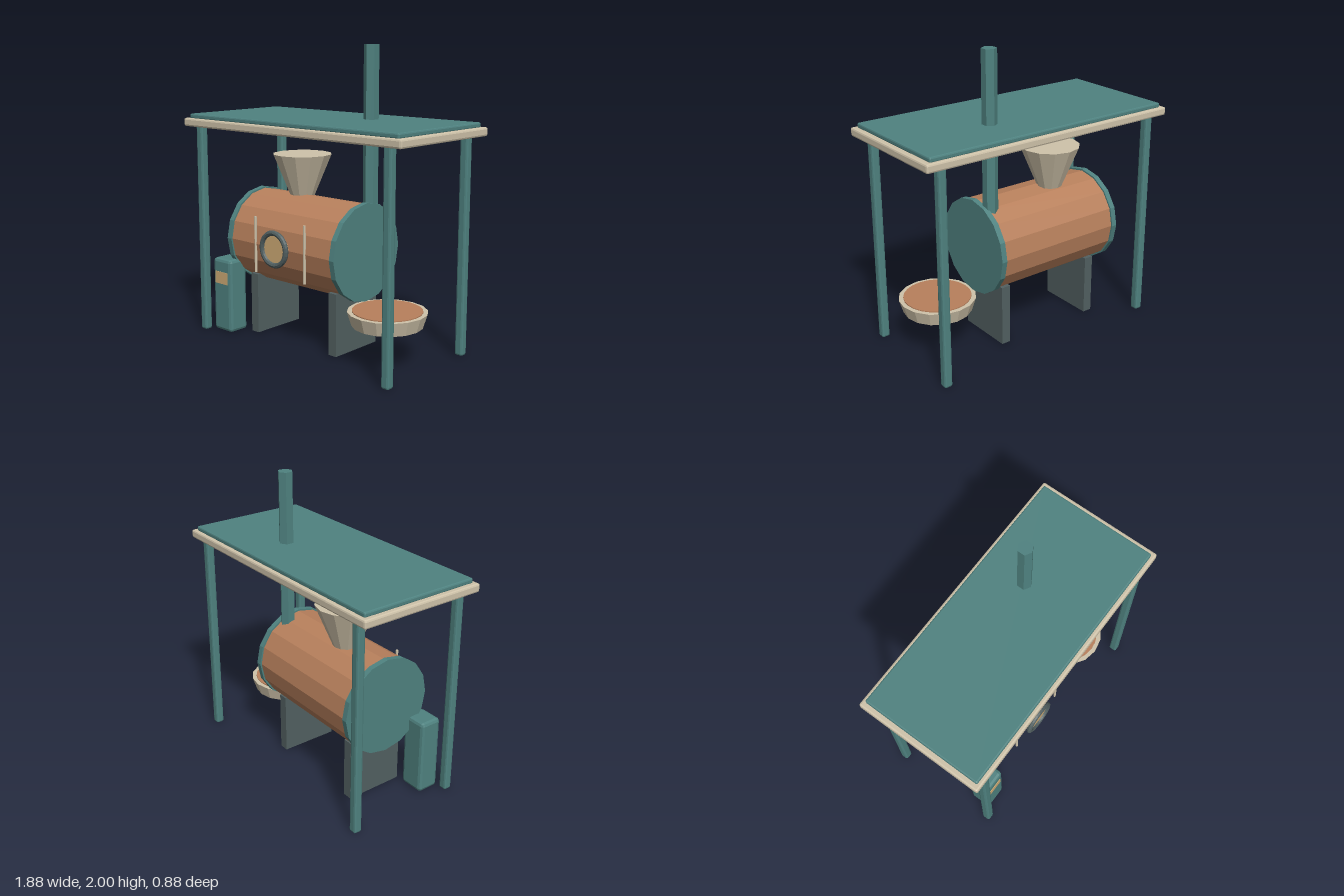
import * as THREE from 'three';
import { RoundedBoxGeometry } from 'three/addons/geometries/RoundedBoxGeometry.js';

const mat = (name, color) => Object.assign(new THREE.MeshStandardMaterial({ color }), { name });

export function createModel() {
  const group = new THREE.Group();
  const teal = mat('teal paint', 0x4f8280);
  const copper = mat('copper', 0xb8805c);
  const beige = mat('beige metal', 0xcfc3aa);
  const tan = mat('tan glass', 0xcfab75);
  const slate = mat('slate metal', 0x526061);

  // Faceted mesh with one normal per face
  const add = (name, geometry, material, x, y, z) => {
    const flat = geometry.index ? geometry.toNonIndexed() : geometry;
    flat.computeVertexNormals();
    const mesh = new THREE.Mesh(flat, material);
    mesh.name = name;
    mesh.position.set(x, y, z);
    group.add(mesh);
    return mesh;
  };
  // Box with chamfered edges; the single-step rounding sits slightly inside, so pad it
  const chamferBox = (w, h, d, r) => {
    const pad = r * 0.19;
    return new RoundedBoxGeometry(w + pad, h + pad, d + pad, 1, r);
  };
  const tube = (rTop, rBottom, h, sides) => new THREE.CylinderGeometry(rTop, rBottom, h, sides);

  // Canopy
  add('canopyFrame', chamferBox(1.88, 0.054, 0.88, 0.012), beige, 0, 1.467, 0);
  add('canopyRoof', chamferBox(1.81, 0.034, 0.83, 0.01), teal, 0, 1.507, 0);
  for (const x of [-0.82, 0.82]) {
    for (const z of [-0.383, 0.383]) {
      add('canopyPost', chamferBox(0.055, 1.45, 0.055, 0.013), teal, x, 0.725, z);
    }
  }

  // Drum lying along x, with end caps
  add('drum', tube(0.315, 0.315, 0.92, 16).rotateZ(Math.PI / 2), copper, -0.152, 0.675, 0);
  for (const x of [-0.624, 0.32]) {
    add('drumEndCap', tube(0.326, 0.326, 0.038, 16).rotateZ(Math.PI / 2), teal, x, 0.675, 0);
  }

  // Drum supports
  for (const x of [-0.508, 0.219]) {
    add('drumSupport', new THREE.BoxGeometry(0.066, 0.42, 0.405), slate, x, 0.21, 0);
  }

  // Viewing window and upright bars on the front
  add('windowRing', new THREE.TorusGeometry(0.109, 0.018, 8, 28), slate, -0.167, 0.675, 0.345);
  add('windowGlass', tube(0.105, 0.105, 0.03, 28).rotateX(Math.PI / 2), tan, -0.167, 0.675, 0.33);
  for (const x of [-0.373, 0.08]) {
    add('frontBar', tube(0.009, 0.009, 0.385, 8), beige, x, 0.672, 0.313);
  }

  // Hopper and chimney
  add('hopper', tube(0.203, 0.085, 0.285, 12), beige, -0.274, 1.118, -0.04);
  add('chimney', tube(0.05, 0.05, 1.1, 6), teal, 0.272, 1.45, -0.11);

  // Cooling tray
  add('tray', tube(0.257, 0.228, 0.092, 16), beige, 0.575, 0.306, 0.078);
  add('trayContents', tube(0.225, 0.225, 0.02, 24), copper, 0.575, 0.348, 0.078);

  // Control cabinet with its panel
  add('controlCabinet', chamferBox(0.172, 0.515, 0.15, 0.022), teal, -0.683, 0.262, 0.275);
  add('cabinetPanel', new THREE.BoxGeometry(0.12, 0.085, 0.008), tan, -0.685, 0.387, 0.352);

  return group;
}
